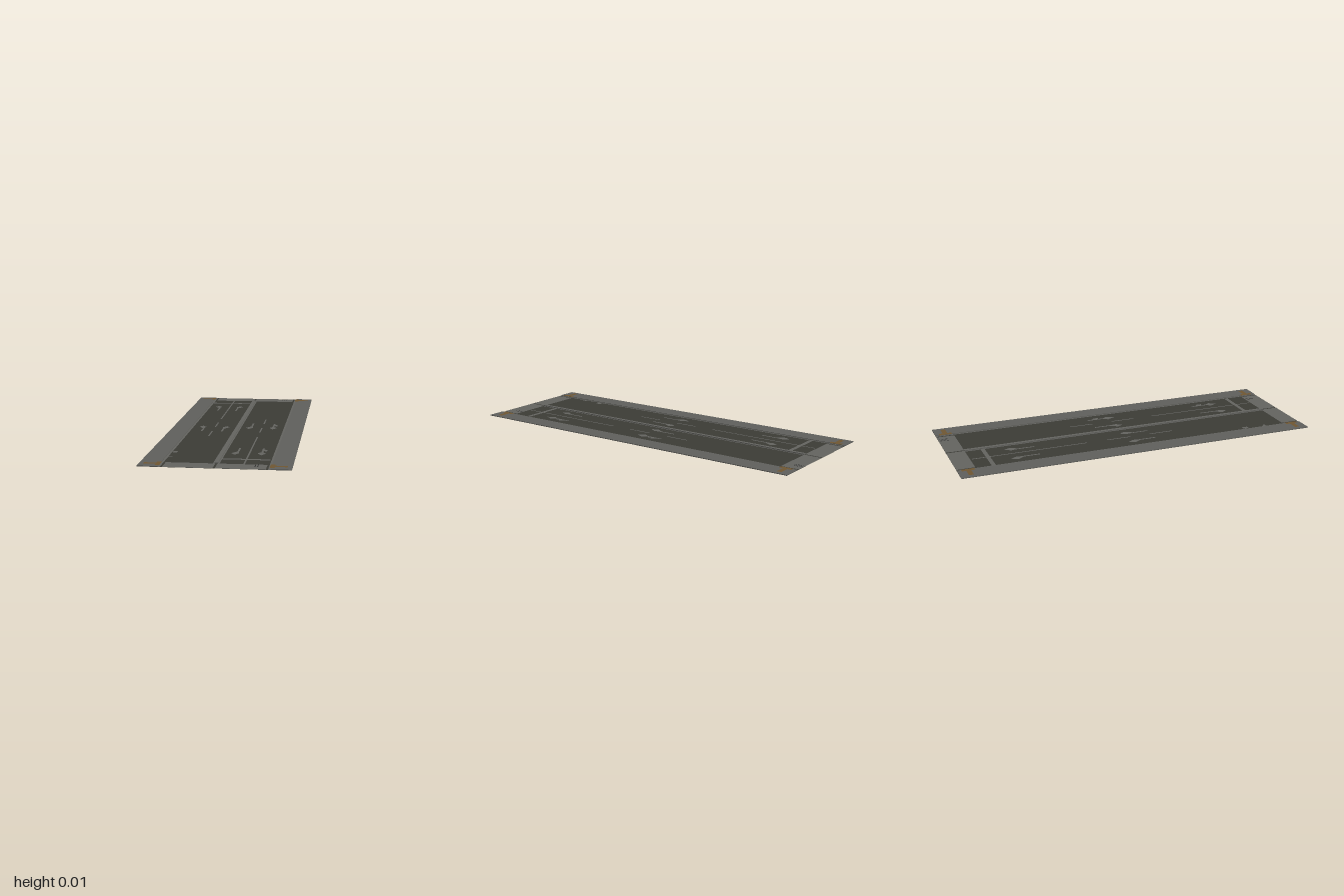
import * as THREE from 'three';

const mat = (name, color) => {
  const m = new THREE.MeshStandardMaterial({ color });
  m.name = name;
  return m;
};

export function createModel() {
  const asphalt = mat('asphalt', 0x3b3b35);
  asphalt.side = THREE.DoubleSide;
  const paving = mat('paving', 0x5f5f5b);
  const paint = mat('roadPaint', 0x63635f);
  const tactile = mat('tactilePaving', 0x6e5632);
  const iron = mat('drainIron', 0x2c2c2a);
  const root = new THREE.Group();

  const add = (name, geo, material) => {
    const mesh = new THREE.Mesh(geo, material);
    mesh.name = name;
    root.add(mesh);
    return mesh;
  };
  // Box between two corners
  const block = (name, x0, x1, y0, y1, z0, z1, material) => {
    const mesh = add(name, new THREE.BoxGeometry(x1 - x0, y1 - y0, z1 - z0), material);
    mesh.position.set((x0 + x1) / 2, (y0 + y1) / 2, (z0 + z1) / 2);
  };
  // Flat upward rectangle
  const patch = (name, x0, x1, z0, z1, material, y = 0.001) => {
    const geo = new THREE.PlaneGeometry(x1 - x0, z1 - z0).rotateX(-Math.PI / 2);
    add(name, geo, material).position.set((x0 + x1) / 2, y, (z0 + z1) / 2);
  };

  // Carriageway and central divider
  patch('carriageway', -0.267, 0.267, -1, 1, asphalt, 0);
  patch('dividerBase', -0.017, 0.015, -0.9, 0.9, paint);
  block('divider', -0.01, 0.008, 0.001, 0.006, -0.9, 0.9, paint);

  for (const s of [-1, 1]) {
    // Pavements and edge lines
    const [a, b] = s < 0 ? [-0.368, -0.267] : [0.267, 0.368];
    block('pavement', a, b, 0, 0.004, -1, 1, paving);
    const edge = s < 0 ? [-0.267, -0.256] : [0.256, 0.267];
    patch('edgeLine', ...edge, -1, 1, paint);

    for (const e of [-1, 1]) {
      // Pale crossing areas at both ends
      const panel = s < 0 ? [-0.246, -0.005] : [0.005, 0.246];
      const ends = e < 0 ? [-1, -0.9] : [0.9, 1];
      patch('crossing', ...panel, ...ends, paint);
      // T-shaped tactile paving at each corner
      const bar = s < 0 ? [-0.285, -0.262] : [0.262, 0.285];
      const stem = s < 0 ? [-0.345, -0.285] : [0.285, 0.345];
      patch('tactileBar', ...bar, e * 0.943 - 0.035, e * 0.943 + 0.035, tactile, 0.005);
      patch('tactileStem', ...stem, e * 0.943 - 0.013, e * 0.943 + 0.013, tactile, 0.005);
    }
  }

  // Stop lines
  patch('stopLine', -0.256, -0.017, -0.815, -0.793, paint);
  patch('stopLine', 0.015, 0.25, 0.785, 0.807, paint);

  // Lane dividers: solid before the stop line, dashed elsewhere
  for (const s of [-1, 1]) {
    const x = s * 0.133;
    const [z0, z1] = s < 0 ? [-0.793, -0.39] : [0.39, 0.785];
    patch('solidLaneLine', x - 0.004, x + 0.004, z0, z1, paint);
    for (let i = 0; i < 5; i++) {
      const z = -s * (-0.823 + i * 0.253);
      patch('laneDash', x - 0.004, x + 0.004, z - 0.068, z + 0.068, paint);
    }
  }

  // Lane arrows, drawn with the tip at the origin
  const outline = (pts, mirror) =>
    new THREE.ShapeGeometry(new THREE.Shape(pts.map(([x, y]) => new THREE.Vector2(x * mirror, y))))
      .rotateX(-Math.PI / 2);
  const turn = [[-0.005, -0.165], [0.005, -0.165], [0.005, -0.06], [0.009, -0.035], [-0.012, 0],
    [-0.03, -0.035], [-0.018, -0.055], [-0.005, -0.075]];
  const straight = [[-0.005, -0.165], [0.005, -0.165], [0.005, -0.07], [0.022, -0.045], [0, 0],
    [-0.022, -0.045], [-0.005, -0.07]];
  const branch = [[-0.005, -0.14], [-0.022, -0.12], [-0.022, -0.09], [-0.005, -0.1]];
  const arrow = (name, pts, x, z, mirror, angle) => {
    const mesh = add(name, outline(pts, mirror), paint);
    mesh.position.set(x, 0.001, z);
    mesh.rotation.y = angle;
  };
  for (const z of [-0.7, -0.035]) {
    arrow('leftTurnArrow', turn, -0.193, z, 1, 0);
    arrow('rightTurnArrow', turn, -0.08, z, -1, 0);
  }
  for (const z of [0.7, 0.035]) {
    arrow('farTurnArrow', turn, 0.073, z, -1, Math.PI);
    arrow('straightArrow', straight, 0.195, z, 1, Math.PI);
    arrow('arrowBranch', branch, 0.195, z, 1, Math.PI);
  }

  // Kerbside covers and drain slots
  patch('cover', -0.252, -0.23, 0.648, 0.682, paint);
  patch('smallCover', -0.256, -0.236, 0.775, 0.792, paint);
  for (const x of [0.18, 0.193, 0.206]) patch('drainSlot', x - 0.002, x + 0.002, -0.99, -0.945, iron, 0.002);
  for (const x of [0.19, 0.203]) patch('drainSlot', x - 0.002, x + 0.002, 0.9, 0.95, iron, 0.002);

  return root;
}
